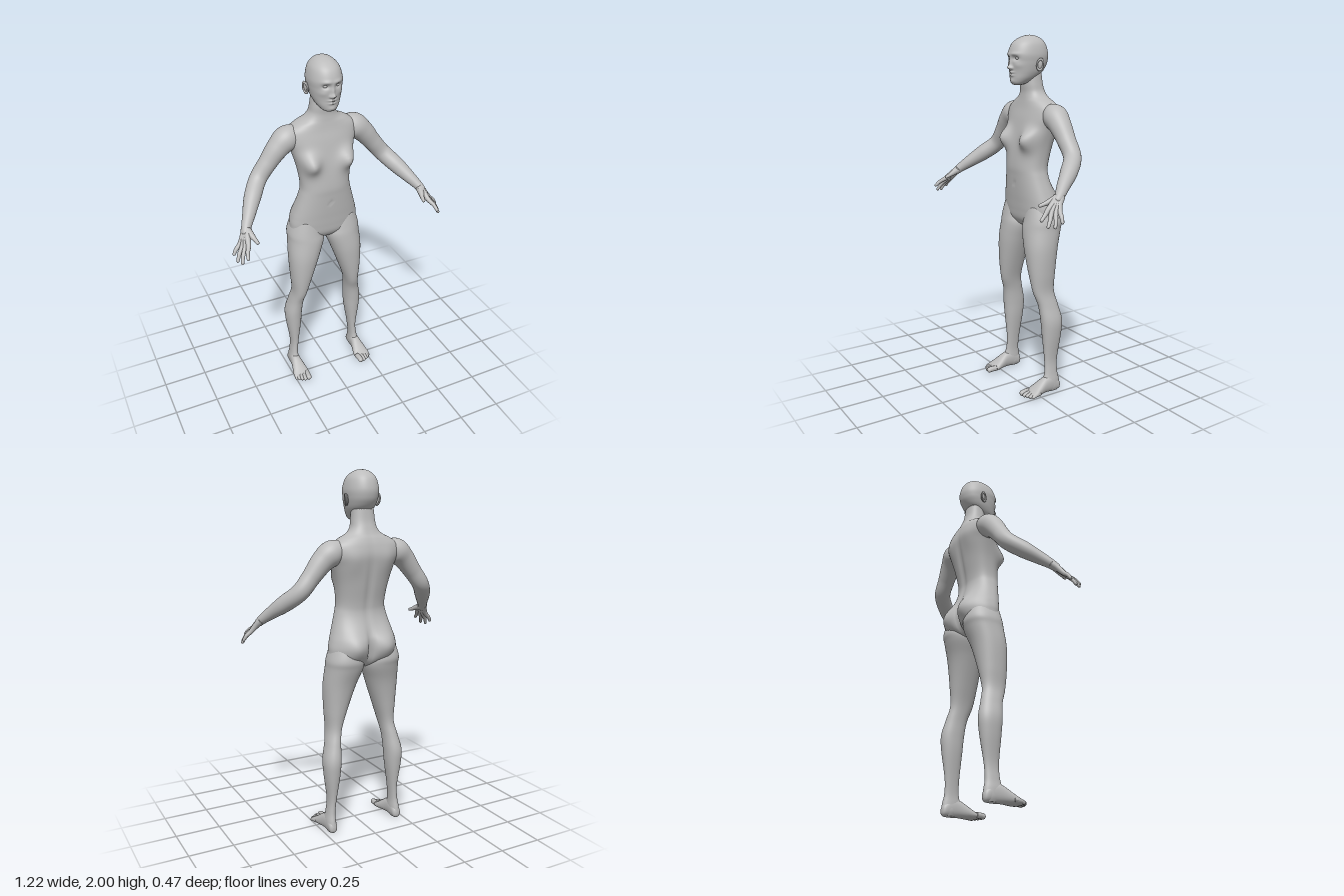
import * as THREE from 'three';

const clay = new THREE.MeshStandardMaterial({ color: 0xbcbcbc });
clay.name = 'clay grey';

// Smooth interpolation through rows of numbers, f from 0 to rows.length - 1
function sample(rows, f) {
  const last = rows.length - 1;
  const i = Math.min(Math.floor(f), last - 1), t = f - i;
  const a = rows[Math.max(i - 1, 0)], b = rows[i], c = rows[i + 1], d = rows[Math.min(i + 2, last)];
  return b.map((_, k) => 0.5 * (2 * b[k] + (c[k] - a[k]) * t
    + (2 * a[k] - 5 * b[k] + 4 * c[k] - d[k]) * t * t
    + (3 * b[k] - a[k] - 3 * c[k] + d[k]) * t * t * t));
}

// Closed skin over rings of points, with a centre point at both ends
function skin(rings) {
  const n = rings[0].length, pos = [], index = [];
  rings.forEach(r => r.forEach(p => pos.push(p.x, p.y, p.z)));
  for (let i = 0; i < rings.length - 1; i++) {
    for (let j = 0; j < n; j++) {
      const a = i * n + j, b = i * n + (j + 1) % n;
      index.push(a, a + n, b, b, a + n, b + n);
    }
  }
  [0, rings.length - 1].forEach((row, end) => {
    const c = new THREE.Vector3();
    rings[row].forEach(p => c.addScaledVector(p, 1 / n));
    const centre = pos.length / 3;
    pos.push(c.x, c.y, c.z);
    for (let j = 0; j < n; j++) {
      const a = row * n + j, b = row * n + (j + 1) % n;
      if (end) index.push(centre, b, a); else index.push(centre, a, b);
    }
  });
  const g = new THREE.BufferGeometry();
  g.setAttribute('position', new THREE.Float32BufferAttribute(pos, 3));
  g.setIndex(index);
  g.computeVertexNormals();
  return g;
}

// Loft through sections [t, x0, x1, v0, v1]; t runs along y (v = z) or along z (v = y).
// Bumps [x, y, sx, sy, amount, facing] push the front (1) or back (-1) along z.
function loft(sections, { axis = 'y', power = 2.2, rows = 80, cols = 64, bumps = [] } = {}) {
  const rings = [];
  for (let i = 0; i <= rows; i++) {
    const [t, x0, x1, v0, v1] = sample(sections, (i / rows) * (sections.length - 1));
    const ring = [];
    for (let j = 0; j < cols; j++) {
      const a = (j / cols) * Math.PI * 2, c = Math.cos(a), s = Math.sin(a);
      const x = (x0 + x1) / 2 + (x1 - x0) / 2 * Math.sign(c) * Math.abs(c) ** (2 / power);
      const side = Math.sign(s) * Math.abs(s) ** (2 / power);
      let v = (v0 + v1) / 2 + (v1 - v0) / 2 * side;
      for (const [bx, by, sx, sy, amount, facing] of bumps) {
        const w = Math.min(1, Math.max(0, side * facing * 1.6));
        v += facing * amount * w * Math.exp(-(((Math.abs(x) - bx) / sx) ** 2) - ((t - by) / sy) ** 2);
      }
      ring.push(axis === 'y' ? new THREE.Vector3(x, t, v)
        : new THREE.Vector3(x, v0 + v1 - v, t));
    }
    rings.push(ring);
  }
  return skin(rings);
}

// Round limb through points [x, y, z, radius] with a rounded tip
function limb(points, rows = 36, cols = 20) {
  const curve = new THREE.CatmullRomCurve3(points.map(p => new THREE.Vector3(p[0], p[1], p[2])));
  const { normals, binormals } = curve.computeFrenetFrames(rows);
  const length = curve.getLength(), rings = [];
  for (let i = 0; i <= rows; i++) {
    const u = i / rows;
    let r = sample(points, curve.getUtoTmapping(u) * (points.length - 1))[3];
    const d = Math.min(1, (1 - u) * length / r);
    r *= Math.max(0.02, Math.sqrt(1 - (1 - d) ** 2));
    const centre = curve.getPointAt(u), ring = [];
    for (let j = 0; j < cols; j++) {
      const a = (j / cols) * Math.PI * 2;
      ring.push(centre.clone().addScaledVector(normals[i], r * Math.cos(a))
        .addScaledVector(binormals[i], -r * Math.sin(a)));
    }
    rings.push(ring);
  }
  return skin(rings);
}

function add(parent, name, geometry) {
  const m = new THREE.Mesh(geometry, clay);
  m.name = name;
  parent.add(m);
  return m;
}

// Symmetric section: y, half width, back z, front z
const sym = ([y, w, zb, zf]) => [y, -w, w, zb, zf];

function createSide(name) {
  const side = new THREE.Group();
  side.name = name;

  add(side, 'leg', loft([
    [0.004, 0.192, 0.226, -0.142, -0.07], [0.03, 0.182, 0.235, -0.151, -0.05],
    [0.07, 0.182, 0.235, -0.146, -0.042], [0.12, 0.183, 0.227, -0.137, -0.055],
    [0.2, 0.175, 0.222, -0.14, -0.057], [0.34, 0.155, 0.24, -0.161, -0.045],
    [0.43, 0.148, 0.244, -0.167, -0.037], [0.52, 0.142, 0.224, -0.147, -0.026],
    [0.6, 0.127, 0.209, -0.13, 0], [0.7, 0.095, 0.215, -0.14, 0.015],
    [0.8, 0.06, 0.22, -0.155, 0.023], [0.87, 0.035, 0.22, -0.17, 0.024],
    [0.95, 0.006, 0.214, -0.195, 0.018], [1.0, 0.012, 0.211, -0.205, 0.01],
    [1.08, 0.03, 0.185, -0.185, -0.005],
  ], { cols: 40 }));

  // Foot and toes
  add(side, 'foot', loft([
    [-0.151, 0.2, 0.218, 0.02, 0.04], [-0.14, 0.185, 0.232, 0.003, 0.065],
    [-0.1, 0.181, 0.236, 0, 0.1], [-0.05, 0.178, 0.241, 0.002, 0.094],
    [0, 0.167, 0.252, 0, 0.064], [0.03, 0.162, 0.259, 0, 0.044],
    [0.055, 0.166, 0.256, 0.004, 0.03], [0.066, 0.185, 0.235, 0.01, 0.02],
  ], { axis: 'z', rows: 40, cols: 32 }));
  [[0.181, 0.099, 0.016], [0.204, 0.095, 0.0115], [0.222, 0.086, 0.0105],
    [0.238, 0.076, 0.01], [0.251, 0.063, 0.009]].forEach(([x, z, r]) =>
    add(side, 'toe', limb([[x - 0.004, 0.022, z - 0.06, r], [x - 0.001, 0.022, z - 0.028, r],
      [x, r, z, r]], 24, 14)));

  add(side, 'arm', limb([
    [0.13, 1.59, -0.115, 0.05], [0.195, 1.572, -0.112, 0.068], [0.248, 1.53, -0.108, 0.06],
    [0.31, 1.455, -0.106, 0.05], [0.37, 1.38, -0.098, 0.047], [0.43, 1.315, -0.032, 0.045],
    [0.48, 1.258, 0.04, 0.034], [0.512, 1.22, 0.085, 0.026], [0.532, 1.188, 0.122, 0.021],
  ], 70, 36));

  // Fingers run from the wrist through the knuckles, so that they form the palm
  [[0.535, 1.162, 0.172, 0.56, 1.115, 0.233], [0.547, 1.154, 0.158, 0.585, 1.083, 0.208],
    [0.557, 1.15, 0.141, 0.6, 1.08, 0.175], [0.565, 1.152, 0.122, 0.607, 1.1, 0.135],
  ].forEach(([kx, ky, kz, tx, ty, tz]) => add(side, 'finger', limb([
    [0.513 + (kx - 0.55) * 0.4, 1.216, 0.09 + (kz - 0.148) * 0.4, 0.019],
    [(0.513 + kx) / 2, (1.216 + ky) / 2 + 0.003, (0.09 + kz) / 2, 0.017], [kx, ky, kz, 0.013],
    [(kx + tx) / 2 + 0.004, (ky + ty) / 2 + 0.003, (kz + tz) / 2, 0.0105], [tx, ty, tz, 0.008],
  ])));
  add(side, 'thumb', limb([[0.512, 1.212, 0.096, 0.02], [0.505, 1.198, 0.132, 0.017],
    [0.495, 1.185, 0.165, 0.011], [0.489, 1.175, 0.196, 0.009]]));

  // Ear with raised rim
  const ear = new THREE.Group();
  ear.name = 'ear';
  ear.position.set(0.09, 1.845, -0.085);
  ear.rotation.set(-0.15, -0.35, -0.12);
  side.add(ear);
  add(ear, 'earShell', new THREE.SphereGeometry(1, 20, 16)).scale.set(0.008, 0.03, 0.018);
  const rim = add(ear, 'earRim', new THREE.TorusGeometry(0.017, 0.0045, 10, 28));
  rim.rotation.y = Math.PI / 2;
  rim.scale.y = 1.65;
  rim.position.x = 0.007;

  const eye = add(side, 'eye', new THREE.SphereGeometry(1, 20, 16));
  eye.scale.set(0.015, 0.009, 0.012);
  eye.position.set(0.033, 1.877, 0.019);
  return side;
}

export function createModel() {
  const figure = new THREE.Group();
  figure.name = 'figure';

  // Trunk with shoulders and neck
  add(figure, 'torso', loft([
    [0.945, 0.03, -0.12, -0.05], [0.965, 0.1, -0.155, -0.022], [1.0, 0.188, -0.18, 0],
    [1.05, 0.2, -0.19, 0.008], [1.1, 0.192, -0.188, 0.013], [1.15, 0.177, -0.176, 0.018],
    [1.24, 0.15, -0.155, 0.025], [1.3, 0.14, -0.157, 0.028], [1.4, 0.152, -0.177, 0.018],
    [1.5, 0.178, -0.196, 0], [1.56, 0.2, -0.204, -0.012], [1.61, 0.195, -0.197, -0.025],
    [1.645, 0.15, -0.185, -0.032], [1.67, 0.1, -0.172, -0.036], [1.7, 0.074, -0.16, -0.039],
    [1.74, 0.066, -0.148, -0.037], [1.8, 0.06, -0.14, -0.04],
  ].map(sym), {
    power: 2.35, rows: 110, cols: 96, bumps: [
      [0.11, 1.445, 0.05, 0.055, 0.055, 1],   // chest
      [0.095, 1.07, 0.075, 0.085, 0.047, -1], // seat
      [0, 1.04, 0.016, 0.08, -0.03, -1],      // cleft
      [0, 1.38, 0.02, 0.2, -0.009, -1],       // spine groove
      [0.1, 1.53, 0.05, 0.07, 0.008, -1],     // shoulder blades
      [0, 1.2, 0.008, 0.01, -0.006, 1],       // navel
    ],
  }));

  add(figure, 'head', loft([
    [1.735, 0.015, -0.02, 0.014], [1.745, 0.038, -0.05, 0.03], [1.77, 0.059, -0.1, 0.036],
    [1.8, 0.073, -0.142, 0.037], [1.83, 0.081, -0.166, 0.04], [1.86, 0.086, -0.179, 0.042],
    [1.9, 0.088, -0.183, 0.045], [1.95, 0.076, -0.169, 0.026], [1.98, 0.053, -0.143, -0.008],
    [1.995, 0.027, -0.112, -0.045], [2.0, 0.003, -0.08, -0.075],
  ].map(sym), {
    rows: 120, cols: 128, bumps: [
      [0, 1.828, 0.011, 0.012, 0.021, 1],       // nose tip
      [0, 1.85, 0.009, 0.022, 0.011, 1],        // nose bridge
      [0.013, 1.825, 0.006, 0.007, 0.008, 1],   // nostrils
      [0.033, 1.877, 0.018, 0.012, -0.014, 1],  // eye sockets
      [0.03, 1.9, 0.025, 0.009, 0.005, 1],      // brow
      [0.05, 1.84, 0.02, 0.016, 0.004, 1],      // cheekbones
      [0, 1.803, 0.02, 0.006, 0.009, 1],        // upper lip
      [0, 1.787, 0.018, 0.006, 0.008, 1],       // lower lip
      [0, 1.757, 0.02, 0.012, 0.005, 1],        // chin
    ],
  }));

  const right = createSide('rightSide');
  right.scale.x = -1;
  figure.add(createSide('leftSide'), right);
  return figure;
}
